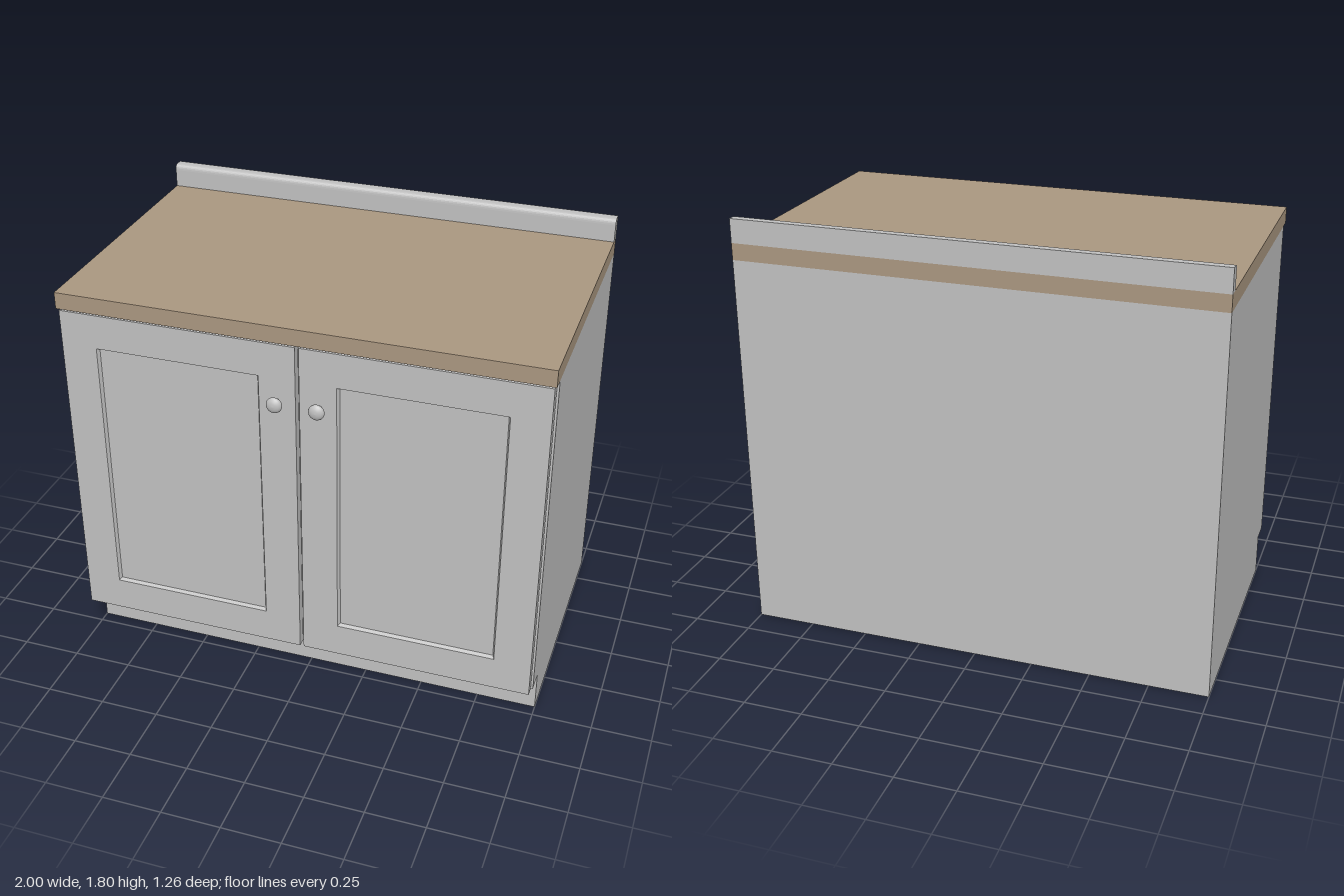
import * as THREE from 'three';

export function createModel() {
  const group = new THREE.Group();
  group.name = 'baseCabinet';
  const paint = new THREE.MeshStandardMaterial({ name: 'greyPaint', color: 0xc0c0c0 });
  const wood = new THREE.MeshStandardMaterial({ name: 'tanWood', color: 0xaa9780 });

  const add = (parent, name, geometry, material, x = 0, y = 0, z = 0) => {
    const mesh = new THREE.Mesh(geometry, material);
    mesh.name = name;
    mesh.position.set(x, y, z);
    parent.add(mesh);
    return mesh;
  };

  // Side profile given as (z, y), extruded across the full width
  const acrossWidth = (shape) => {
    const g = new THREE.ExtrudeGeometry(shape, { depth: 2, bevelEnabled: false, curveSegments: 6 });
    g.translate(0, 0, -1);
    return g.rotateY(-Math.PI / 2);
  };
  const profile = (points) => new THREE.Shape(points.map(([z, y]) => new THREE.Vector2(z, y)));

  // Carcass with toe kick
  add(group, 'carcass', acrossWidth(profile([
    [-0.63, 0], [0.45, 0], [0.45, 0.175], [0.54, 0.175], [0.54, 1.63], [-0.63, 1.63],
  ])), paint);

  // Worktop and backsplash with a rounded front edge
  add(group, 'worktop', new THREE.BoxGeometry(2, 0.07, 1.225), wood, 0, 1.665, -0.0175);
  const splash = new THREE.Shape();
  splash.moveTo(-0.63, 1.7);
  splash.lineTo(-0.582, 1.7);
  splash.lineTo(-0.582, 1.775);
  splash.quadraticCurveTo(-0.582, 1.8, -0.6, 1.8);
  splash.lineTo(-0.63, 1.8);
  add(group, 'backsplash', acrossWidth(splash), paint);

  // Sloped moulding between the frame opening and the recessed panel
  const slopedRing = (x0, x1, y0, y1, inset, zFront, zBack) => {
    const corners = (d, z) => [
      [x0 + d, y0 + d, z], [x1 - d, y0 + d, z], [x1 - d, y1 - d, z], [x0 + d, y1 - d, z],
    ];
    const outer = corners(0, zFront), inner = corners(inset, zBack), pos = [];
    for (let i = 0; i < 4; i++) {
      const j = (i + 1) % 4;
      pos.push(...outer[i], ...outer[j], ...inner[j], ...outer[i], ...inner[j], ...inner[i]);
    }
    const g = new THREE.BufferGeometry();
    g.setAttribute('position', new THREE.Float32BufferAttribute(pos, 3));
    g.computeVertexNormals();
    return g;
  };

  const rect = (Type, x0, x1, y0, y1) => new Type([
    [x0, y0], [x1, y0], [x1, y1], [x0, y1],
  ].map(([x, y]) => new THREE.Vector2(x, y)));

  // Mushroom knob, turned around its axis
  const knobGeometry = new THREE.LatheGeometry([
    [0.019, 0], [0.012, 0.005], [0.01, 0.012], [0.014, 0.017], [0.026, 0.019], [0.032, 0.025],
    [0.033, 0.031], [0.03, 0.038], [0.023, 0.044], [0.012, 0.048], [0, 0.049],
  ].map(([r, h]) => new THREE.Vector2(r, h)), 28).rotateX(Math.PI / 2);

  // Doors: back slab, frame with opening, moulding, knob
  const doors = [
    { name: 'rightDoor', x: [-0.992, -0.002], panel: [-0.842, -0.153], knob: -0.08 },
    { name: 'leftDoor', x: [0.014, 0.992], panel: [0.166, 0.838], knob: 0.093 },
  ];
  const bottom = 0.18, top = 1.62, panelY = [0.327, 1.473];
  const zBack = 0.548, zPanel = 0.572, zFront = 0.587;
  for (const { name, x, panel, knob } of doors) {
    const door = new THREE.Group();
    door.name = name;
    group.add(door);

    const depth = zPanel - zBack;
    add(door, 'doorPanel', new THREE.BoxGeometry(x[1] - x[0], top - bottom, depth), paint,
      (x[0] + x[1]) / 2, (top + bottom) / 2, zBack + depth / 2);

    const frame = rect(THREE.Shape, ...x, bottom, top);
    frame.holes.push(rect(THREE.Path, ...panel, ...panelY));
    add(door, 'doorFrame', new THREE.ExtrudeGeometry(frame, {
      depth: zFront - zPanel, bevelEnabled: false,
    }), paint, 0, 0, zPanel);

    add(door, 'panelMoulding', slopedRing(...panel, ...panelY, 0.008, zFront, zPanel), paint);
    add(door, 'knob', knobGeometry, paint, knob, 1.37, zFront - 0.002);
  }

  // Hidden cleats that carry the doors in front of the carcass
  for (const px of [-0.5, 0.5]) {
    add(group, 'doorMount', new THREE.BoxGeometry(0.6, 1, 0.01), paint, px, 0.9, 0.544);
  }
  return group;
}
